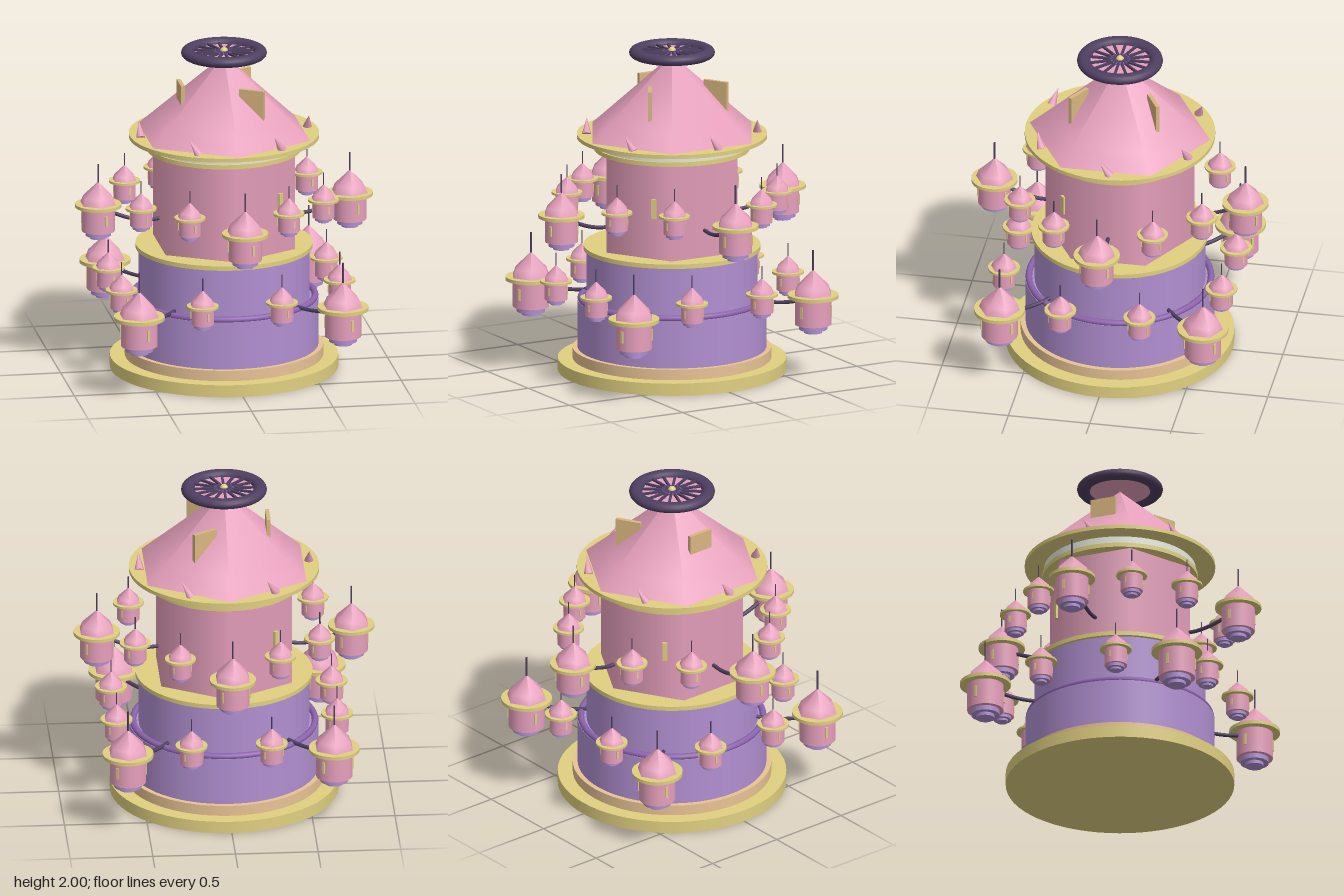
import * as THREE from 'three';

const mat = (color) => new THREE.MeshStandardMaterial({ color });
const pink = mat(0xe6a0bc), purple = mat(0xb08fd0), violet = mat(0x8d64ae), yellow = mat(0xe0d080);
const peach = mat(0xe8c394), white = mat(0xe6eadc), dark = mat(0x4e3f60), wood = mat(0xd8b780);

function add(parent, name, geometry, material, x = 0, y = 0, z = 0) {
  const mesh = new THREE.Mesh(geometry, material);
  mesh.name = name;
  mesh.position.set(x, y, z);
  parent.add(mesh);
  return mesh;
}

// Upright cylinder between two heights
function drum(parent, name, r, y0, y1, material, sides = 64) {
  return add(parent, name, new THREE.CylinderGeometry(r, r, y1 - y0, sides), material, 0, (y0 + y1) / 2, 0);
}

// Six-sided roof from a short profile
function hexRoof(parent, name, profile, y) {
  const points = profile.map(([r, h]) => new THREE.Vector2(r, h));
  return add(parent, name, new THREE.LatheGeometry(points, 6), pink, 0, y, 0);
}

// Hanging pod; its origin lies at the brim
function makePod(name) {
  const pod = new THREE.Group();
  pod.name = name;
  drum(pod, 'podBrim', 0.14, -0.01, 0.01, yellow, 32);
  drum(pod, 'podBody', 0.1, -0.16, 0, pink, 32);
  drum(pod, 'podLowerStep', 0.078, -0.188, -0.16, purple, 24);
  drum(pod, 'podBottomStep', 0.05, -0.207, -0.188, purple, 24);
  hexRoof(pod, 'podRoof', [[0.115, 0], [0.097, 0.045], [0, 0.14]], 0.008);
  drum(pod, 'podSpire', 0.005, 0.13, 0.257, dark, 8);
  for (let i = 0; i < 3; i++) {
    const a = 0.36 + i * Math.PI * 2 / 3;
    const pane = add(pod, 'podWindow', new THREE.BoxGeometry(0.014, 0.065, 0.012), yellow,
      Math.sin(a) * 0.099, -0.08, Math.cos(a) * 0.099);
    pane.rotation.y = a;
  }
  return pod;
}

function placePod(parent, name, angle, radius, y, scale) {
  const pod = makePod(name);
  pod.position.set(Math.sin(angle) * radius, y, Math.cos(angle) * radius);
  pod.scale.setScalar(scale);
  parent.add(pod);
}

// Curved arm running outward to a pod
function arm(parent, angle, profile) {
  const path = new THREE.CatmullRomCurve3(profile.map(([r, y]) => new THREE.Vector3(0, y, r)));
  add(parent, 'arm', new THREE.TubeGeometry(path, 16, 0.012, 8), dark).rotation.y = angle;
}

export function createModel() {
  const model = new THREE.Group();
  model.name = 'carouselTower';

  // Stepped base and drums
  drum(model, 'basePlate', 0.69, 0, 0.075, yellow);
  drum(model, 'baseStep', 0.6, 0.075, 0.14, peach);
  drum(model, 'lowerDrum', 0.57, 0.14, 0.435, purple);
  const band = add(model, 'drumBand', new THREE.TorusGeometry(0.55, 0.02, 10, 64), violet, 0, 0.445, 0);
  band.rotation.x = Math.PI / 2;
  drum(model, 'upperDrum', 0.515, 0.435, 0.75, purple);
  drum(model, 'balcony', 0.535, 0.75, 0.777, yellow);

  // Six-sided tower and its collar
  drum(model, 'tower', 0.457, 0.777, 1.38, pink, 6);
  drum(model, 'collarRing', 0.47, 1.368, 1.395, yellow);
  drum(model, 'collar', 0.458, 1.395, 1.445, white);
  drum(model, 'eave', 0.575, 1.442, 1.466, yellow);
  for (const a of [Math.PI / 4, Math.PI * 5 / 4]) {
    const pane = add(model, 'towerWindow', new THREE.BoxGeometry(0.03, 0.12, 0.03), yellow,
      Math.sin(a) * 0.41, 1.09, Math.cos(a) * 0.41);
    pane.rotation.y = a;
  }

  // Main roof with three fins and six leaning spikes
  hexRoof(model, 'mainRoof', [[0.555, 0], [0.44, 0.1], [0, 0.487]], 1.465);
  for (let i = 0; i < 3; i++) {
    const a = Math.PI / 3 + i * Math.PI * 2 / 3;
    const fin = add(model, 'roofFin', new THREE.BoxGeometry(0.024, 0.22, 0.16), wood,
      Math.cos(a) * 0.265, 1.68, Math.sin(a) * 0.265);
    fin.rotation.y = a;
  }
  for (let i = 0; i < 6; i++) {
    const a = i * Math.PI / 3;
    const holder = new THREE.Group();
    holder.name = 'spikeHolder';
    holder.position.set(Math.cos(a) * 0.515, 1.51, Math.sin(a) * 0.515);
    holder.rotation.y = -a;
    add(holder, 'roofSpike', new THREE.ConeGeometry(0.029, 0.11, 8), pink).rotation.x = 0.6;
    model.add(holder);
  }

  // Wheel on top
  const wheel = new THREE.Group();
  wheel.name = 'topWheel';
  wheel.position.y = 1.967;
  const rim = add(wheel, 'wheelRim', new THREE.TorusGeometry(0.219, 0.04, 16, 64), dark);
  rim.rotation.x = Math.PI / 2;
  rim.scale.z = 0.8;
  drum(wheel, 'wheelDisc', 0.2, -0.012, 0, pink, 48);
  drum(wheel, 'wheelHub', 0.06, 0, 0.012, violet, 32);
  for (let i = 0; i < 16; i++) {
    const a = i * Math.PI / 8;
    const spoke = add(wheel, 'wheelSpoke', new THREE.BoxGeometry(0.014, 0.014, 0.165), dark,
      Math.sin(a) * 0.1, 0.006, Math.cos(a) * 0.1);
    spoke.rotation.y = a;
  }
  add(wheel, 'wheelKnob', new THREE.SphereGeometry(0.024, 16, 12), yellow, 0, 0.009, 0);
  model.add(wheel);

  // Four-fold rings of pods: upper on the axes, lower on the diagonals
  const deg = Math.PI / 180;
  for (let i = 0; i < 4; i++) {
    const a = i * Math.PI / 2;
    placePod(model, 'upperPod', a, 0.77, 1.045, 1);
    arm(model, a, [[0.38, 0.945], [0.48, 0.937], [0.58, 0.955], [0.7, 1.0]]);
    placePod(model, 'lowerPod', a + 45 * deg, 0.882, 0.51, 1.1);
    arm(model, a + 45 * deg, [[0.5, 0.465], [0.6, 0.455], [0.7, 0.458], [0.8, 0.475]]);
    for (const side of [-1, 1]) {
      placePod(model, 'smallUpperPod', a + side * 28.5 * deg, 0.635, 1.1, 0.67);
      placePod(model, 'smallLowerPod', a + side * 20 * deg, 0.71, 0.573, 0.69);
    }
  }
  return model;
}
